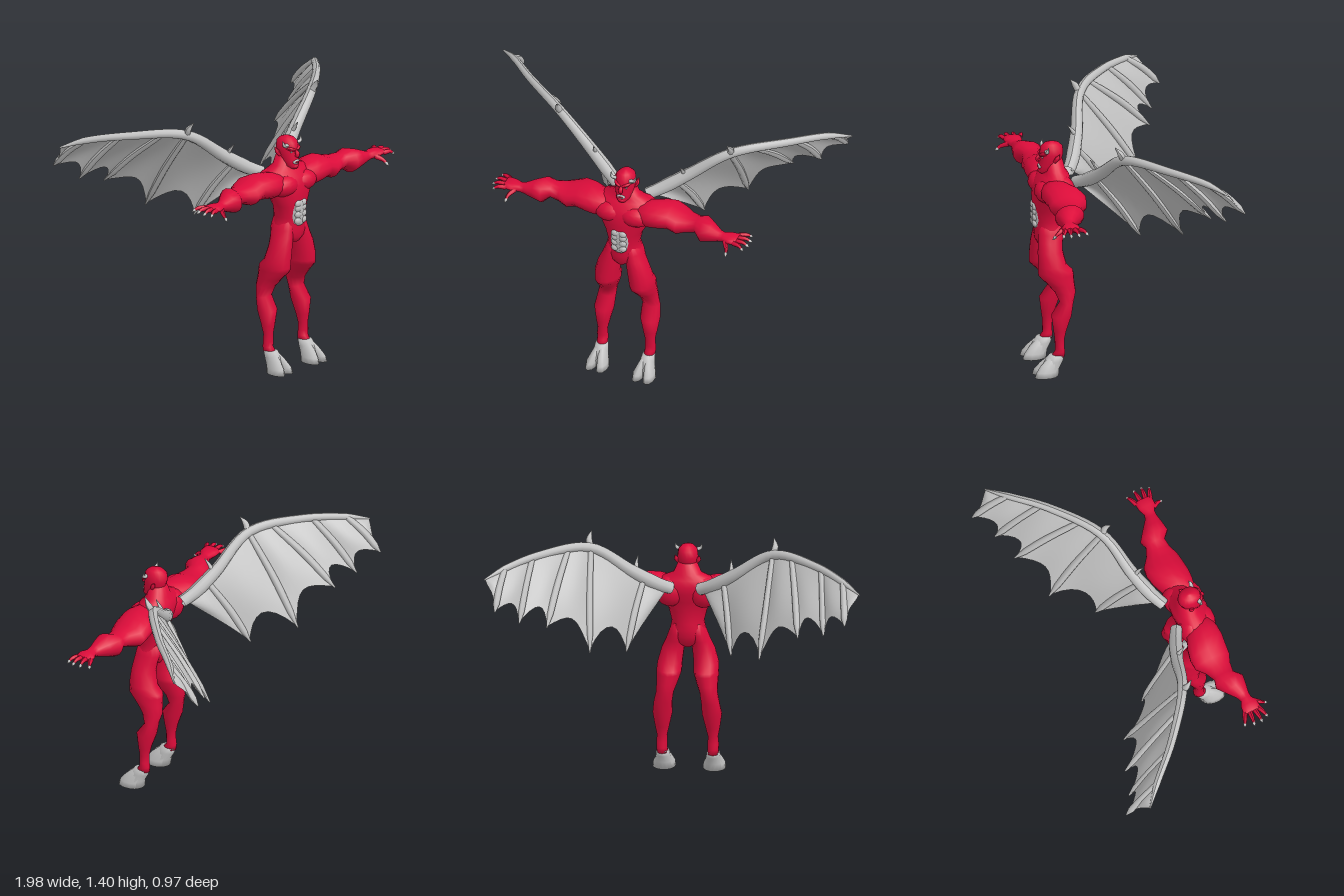
import * as THREE from 'three';

const V = (x, y, z) => new THREE.Vector3(x, y, z);

// Index a closed stack of rings, n points each, with fan caps on both ends
function skin(rings) {
  const n = rings[0].length, pos = [], idx = [];
  rings.forEach(r => r.forEach(p => pos.push(p.x, p.y, p.z)));
  for (let i = 0; i < rings.length - 1; i++) for (let j = 0; j < n; j++) {
    const k = (j + 1) % n, a = i * n + j, b = i * n + k;
    idx.push(a, b, a + n, b, b + n, a + n);
  }
  [0, rings.length - 1].forEach(i => {
    const c = rings[i].reduce((s, p) => s.add(p), V(0, 0, 0)).divideScalar(n), m = pos.length / 3;
    pos.push(c.x, c.y, c.z);
    for (let j = 0; j < n; j++) {
      const a = i * n + j, b = i * n + (j + 1) % n;
      i ? idx.push(a, b, m) : idx.push(b, a, m);
    }
  });
  const g = new THREE.BufferGeometry();
  g.setAttribute('position', new THREE.Float32BufferAttribute(pos, 3));
  g.setIndex(idx);
  g.computeVertexNormals();
  return g;
}
const angles = n => Array.from({ length: n }, (_, j) => j / n * Math.PI * 2);
// Upright loft: rows of [y, centreX, halfX, centreZ, halfZ], bottom to top
const loftY = (rows, n = 14) => skin(rows.map(([y, cx, hx, cz, hz]) =>
  angles(n).map(t => V(cx + hx * Math.sin(t), y, cz + hz * Math.cos(t)))));
// Sideways loft: rows of [x, centreY, halfY, centreZ, halfZ], inside to outside
const loftX = (rows, n = 14) => skin(rows.map(([x, cy, hy, cz, hz]) =>
  angles(n).map(t => V(x, cy + hy * Math.cos(t), cz + hz * Math.sin(t)))));

// Tapered bent rod through points, with radii spread evenly along it
function rod(points, radii, seg = 8, sides = 8) {
  const curve = new THREE.CatmullRomCurve3(points.map(p => V(...p)));
  const g = new THREE.TubeGeometry(curve, seg, 1, sides), p = g.attributes.position, v = V(0, 0, 0);
  for (let i = 0; i < p.count; i++) {
    const u = Math.floor(i / (sides + 1)) / seg, c = curve.getPointAt(u);
    const f = u * (radii.length - 1), k = Math.min(Math.floor(f), radii.length - 2);
    const r = radii[k] + (radii[k + 1] - radii[k]) * (f - k);
    v.fromBufferAttribute(p, i).sub(c).multiplyScalar(r).add(c);
    p.setXYZ(i, v.x, v.y, v.z);
  }
  g.computeVertexNormals();
  return g;
}
const blob = (x, y, z, a, b, c) => new THREE.SphereGeometry(1, 14, 10).scale(a, b, c).translate(x, y, z);

function mirrored(geo) {
  const g = geo.clone().scale(-1, 1, 1), ix = g.index;
  for (let i = 0; i < ix.count; i += 3) {
    const a = ix.getX(i);
    ix.setX(i, ix.getX(i + 1));
    ix.setX(i + 1, a);
  }
  g.computeVertexNormals();
  return g;
}

// Skin sheet stretched between two wing fingers, scalloped along the free edge
function membrane(f, h, scallop) {
  const N = 8, pos = [], idx = [];
  for (let i = 0; i <= N; i++) for (let j = 0; j <= N; j++) {
    const u = i / N, s = Math.sin(Math.PI * u), v = j / N * (0.98 - scallop * s);
    const p = V(...f[0]).lerp(V(...f[1]), v).lerp(V(...h[0]).lerp(V(...h[1]), v), u);
    const sag = 0.022 * s * Math.sin(Math.PI * Math.min(1, v + 0.1));
    pos.push(p.x - 0.66 * sag, p.y, p.z - 0.75 * sag);
  }
  for (let i = 0; i < N; i++) for (let j = 0; j < N; j++) {
    const a = i * (N + 1) + j, b = a + N + 1;
    idx.push(a, a + 1, b, a + 1, b + 1, b);
  }
  const g = new THREE.BufferGeometry();
  g.setAttribute('position', new THREE.Float32BufferAttribute(pos, 3));
  g.setIndex(idx);
  g.computeVertexNormals();
  return g;
}

export function createModel() {
  const model = new THREE.Group();
  const red = new THREE.MeshStandardMaterial({ color: 0xdc0c3a });
  red.name = 'red skin';
  const grey = new THREE.MeshStandardMaterial({ color: 0xc0c0c0, side: THREE.DoubleSide });
  grey.name = 'grey horn';
  const add = (name, geo, mat) => {
    const m = new THREE.Mesh(geo, mat);
    m.name = name;
    model.add(m);
  };
  const pair = (name, geo, mat) => {
    add(name + 'Left', geo, mat);
    add(name + 'Right', mirrored(geo), mat);
  };

  // Torso and neck
  add('torso', loftY([
    [0.695, 0, 0.025, 0.355, 0.05], [0.725, 0, 0.085, 0.352, 0.068], [0.76, 0, 0.1, 0.347, 0.077],
    [0.8, 0, 0.093, 0.345, 0.08], [0.835, 0, 0.086, 0.347, 0.08], [0.9, 0, 0.102, 0.35, 0.082],
    [0.96, 0, 0.135, 0.343, 0.09], [1.01, 0, 0.16, 0.333, 0.097], [1.05, 0, 0.163, 0.325, 0.092],
    [1.085, 0, 0.135, 0.314, 0.073], [1.11, 0, 0.075, 0.315, 0.056], [1.17, 0, 0.048, 0.32, 0.047]], 18), red);
  pair('chestMuscle', blob(0.07, 1.012, 0.373, 0.09, 0.058, 0.065), red);
  pair('backMuscle', blob(0.088, 1.012, 0.288, 0.08, 0.083, 0.062), red);
  // Belly plate with raised muscles
  add('bellyPlate', loftY([
    [0.79, 0, 0.032, 0.4, 0.028], [0.805, 0, 0.046, 0.4, 0.034], [0.85, 0, 0.054, 0.4, 0.036],
    [0.91, 0, 0.058, 0.4, 0.037], [0.928, 0, 0.05, 0.4, 0.034]], 18), grey);
  [0.818, 0.853, 0.887, 0.912].forEach((y, i) =>
    pair('bellyMuscle' + i, blob(0.021, y, 0.425, 0.022, 0.02, 0.015), grey));

  // Head
  add('head', loftY([
    [1.095, 0, 0.02, 0.382, 0.016], [1.11, 0, 0.037, 0.36, 0.042], [1.14, 0, 0.047, 0.345, 0.055],
    [1.17, 0, 0.052, 0.335, 0.06], [1.2, 0, 0.055, 0.331, 0.064], [1.235, 0, 0.05, 0.33, 0.06],
    [1.254, 0, 0.033, 0.33, 0.04], [1.264, 0, 0.008, 0.33, 0.01]], 16), red);
  add('nose', rod([[0, 1.195, 0.392], [0, 1.175, 0.405], [0, 1.162, 0.4]], [0.006, 0.012, 0.011]), red);
  add('teeth', blob(0, 1.132, 0.393, 0.023, 0.014, 0.012), grey);
  add('mouth', blob(0, 1.132, 0.4, 0.015, 0.005, 0.008), red);
  add('chin', blob(0, 1.108, 0.386, 0.023, 0.014, 0.018), red);
  pair('brow', rod([[0.006, 1.195, 0.392], [0.025, 1.202, 0.388], [0.045, 1.21, 0.365]], [0.008, 0.01, 0.006]), red);
  pair('eye', blob(0.022, 1.187, 0.384, 0.01, 0.005, 0.006), grey);
  pair('ear', rod([[0.048, 1.165, 0.325], [0.058, 1.183, 0.315], [0.064, 1.21, 0.3]], [0.01, 0.012, 0.001]), red);
  pair('horn', rod([[0.038, 1.222, 0.365], [0.062, 1.228, 0.368], [0.07, 1.255, 0.362]], [0.012, 0.009, 0.001]), grey);

  // Legs, running up into the hips
  pair('leg', loftY([
    [0.1, 0.133, 0.03, 0.33, 0.038], [0.13, 0.135, 0.029, 0.318, 0.027], [0.16, 0.135, 0.03, 0.32, 0.025],
    [0.2, 0.134, 0.027, 0.32, 0.026], [0.25, 0.133, 0.038, 0.318, 0.035], [0.33, 0.13, 0.053, 0.309, 0.054],
    [0.4, 0.125, 0.049, 0.28, 0.035], [0.455, 0.115, 0.047, 0.284, 0.056], [0.5, 0.106, 0.056, 0.305, 0.072],
    [0.55, 0.098, 0.066, 0.33, 0.095], [0.57, 0.097, 0.067, 0.333, 0.093], [0.605, 0.095, 0.066, 0.35, 0.077],
    [0.68, 0.08, 0.06, 0.357, 0.067], [0.73, 0.065, 0.052, 0.352, 0.067], [0.77, 0.055, 0.048, 0.345, 0.07],
    [0.83, 0.045, 0.035, 0.343, 0.06]]), red);
  // Cloven hooves
  pair('hoofHeel', loftY([[0, 0.132, 0.05, 0.37, 0.045], [0.04, 0.132, 0.048, 0.368, 0.046],
    [0.08, 0.132, 0.038, 0.35, 0.05], [0.112, 0.133, 0.033, 0.335, 0.043]]), grey);
  [-1, 1].forEach(s => pair(s < 0 ? 'innerToe' : 'outerToe', loftY([
    [0, 0.132 + s * 0.031, 0.03, 0.4, 0.06], [0.03, 0.132 + s * 0.029, 0.028, 0.395, 0.056],
    [0.065, 0.132 + s * 0.02, 0.023, 0.373, 0.05], [0.1, 0.132 + s * 0.012, 0.016, 0.348, 0.035]], 10), grey));

  // Arms and hands
  pair('arm', loftX([
    [0.08, 1.025, 0.055, 0.335, 0.075], [0.15, 1.025, 0.07, 0.333, 0.09], [0.2, 1.03, 0.068, 0.323, 0.102],
    [0.26, 1.032, 0.06, 0.313, 0.105], [0.31, 1.013, 0.06, 0.315, 0.1], [0.36, 1.02, 0.047, 0.325, 0.07],
    [0.41, 1.026, 0.04, 0.332, 0.056], [0.45, 1.018, 0.066, 0.345, 0.08], [0.5, 1.02, 0.05, 0.36, 0.058],
    [0.55, 1.02, 0.03, 0.375, 0.034], [0.575, 1.022, 0.023, 0.38, 0.03], [0.61, 1.026, 0.022, 0.382, 0.047],
    [0.655, 1.028, 0.016, 0.38, 0.05]]), red);
  [[[0.645, 1.026, 0.34], [0.685, 1.028, 0.322], [0.712, 1.012, 0.308]],
    [[0.65, 1.028, 0.367], [0.695, 1.032, 0.362], [0.73, 1.014, 0.358]],
    [[0.65, 1.028, 0.395], [0.695, 1.032, 0.4], [0.73, 1.012, 0.403]],
    [[0.645, 1.026, 0.418], [0.685, 1.028, 0.432], [0.712, 1.008, 0.443]],
    [[0.595, 1.018, 0.41], [0.618, 1.0, 0.448], [0.625, 0.972, 0.48]]].forEach((f, i) => {
    const [a, b, c] = f, m = b.map((v, k) => v + (c[k] - v) * 0.5);
    pair('finger' + i, rod([a, b, m], [0.014, 0.012, 0.007], 5, 7), red);
    pair('claw' + i, rod([b.map((v, k) => v * 0.7 + c[k] * 0.3), m, c], [0.007, 0.009, 0.001], 4, 6), grey);
  });

  // Wings: leading arm, blunt fingers, membranes and hooks
  const root = [0.1, 1.045, 0.2], tip = [0.985, 1.28, -0.373];
  pair('wingArm', rod([[0.075, 1.053, 0.22], [0.14, 1.085, 0.183], [0.27, 1.172, 0.128], [0.48, 1.32, 0.058],
    [0.73, 1.335, -0.13], [0.89, 1.313, -0.29], [0.965, 1.287, -0.358], [0.988, 1.278, -0.378]],
  [0.032, 0.037, 0.033, 0.029, 0.026, 0.024, 0.022, 0.02, 0.018, 0.004], 27, 10), grey);
  const fingers = [
    [[0.21, 1.13, 0.15], [0.275, 0.8, -0.08]],
    [[0.48, 1.32, 0.06], [0.445, 0.855, -0.267]],
    [[0.59, 1.33, -0.02], [0.66, 1.02, -0.364]],
    [[0.76, 1.335, -0.155], [0.8, 1.055, -0.41]],
    [[0.89, 1.315, -0.29], [0.92, 1.14, -0.483]]];
  fingers.forEach(([a, b], i) => {
    const mid = a.map((v, k) => (v + b[k]) / 2 + [0.004, 0.01, -0.005][k]);
    pair('wingFinger' + i, rod([a, mid, b], [0.014, 0.017, 0.018, 0.019, 0.019, 0.017, 0.004], 18, 8), grey);
  });
  const strands = [[root, root], ...fingers, [tip, tip]];
  [0.06, 0.27, 0.22, 0.25, 0.25, 0.15].forEach((s, i) =>
    pair('wingMembrane' + i, membrane(strands[i], strands[i + 1], s), grey));
  pair('wingHook', rod([[0.48, 1.32, 0.06], [0.49, 1.36, 0.08], [0.48, 1.397, 0.108]], [0.018, 0.016, 0.002]), grey);
  pair('smallWingHook', rod([[0.25, 1.165, 0.13], [0.25, 1.205, 0.155], [0.245, 1.24, 0.182]], [0.014, 0.01, 0.002]), grey);

  return model;
}
